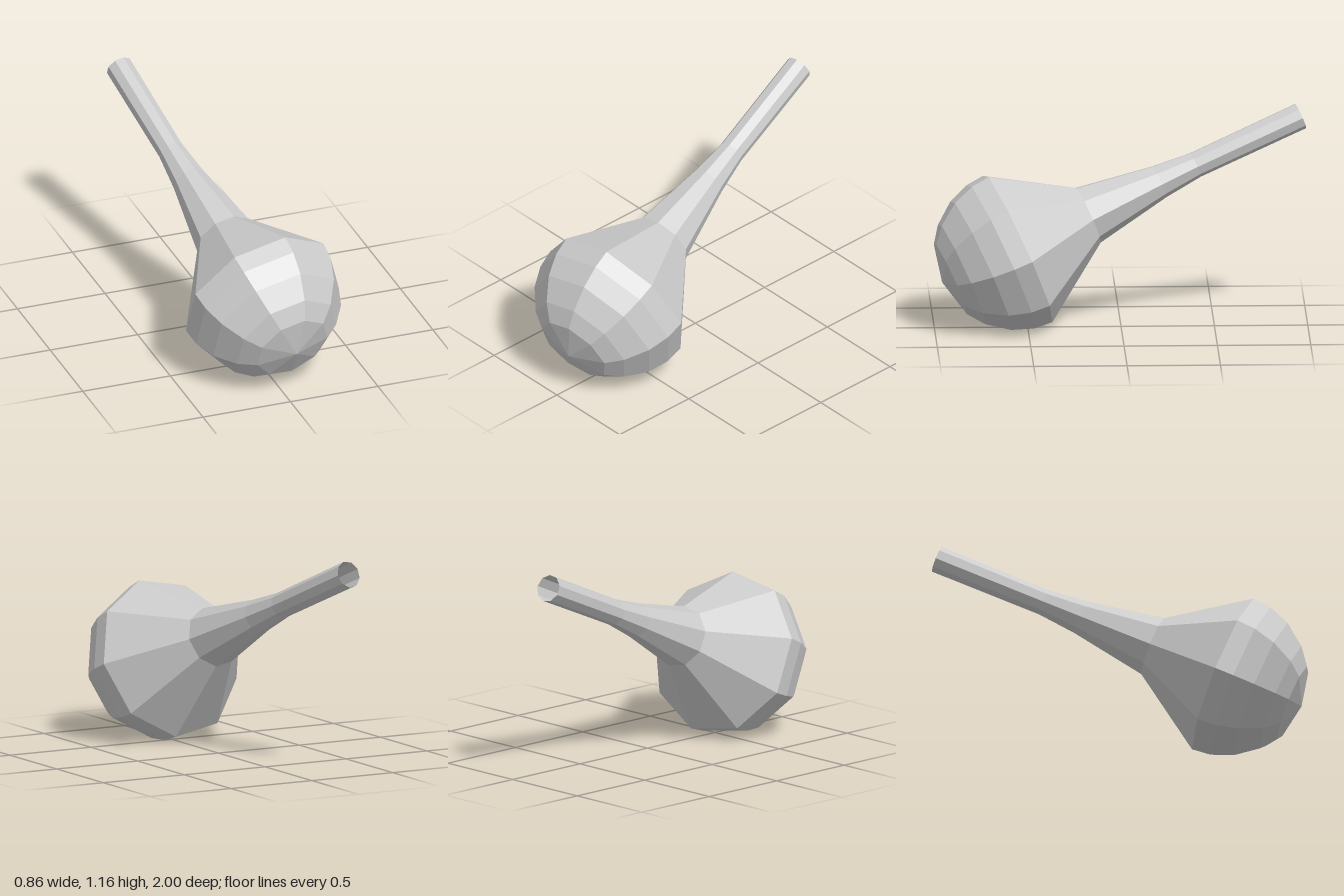
import * as THREE from 'three';

const SIDES = 9;

export function createModel() {
  const group = new THREE.Group();
  group.name = 'bulbWithTube';
  const material = new THREE.MeshStandardMaterial({
    color: 0xcccccc, flatShading: true, side: THREE.DoubleSide,
  });

  // Radius and distance along the axis, from the bulb's pole to the tube's open mouth
  const profile = [
    [0, 0], [0.211, 0.05], [0.3, 0.116], [0.388, 0.23], [0.433, 0.347], [0.443, 0.45],
    [0.165, 0.864], [0.093, 1.287], [0.071, 1.5], [0.073, 2.123],
  ].map(([r, t]) => new THREE.Vector2(r, t));

  // One faceted turned body: round bulb, sloping shoulder, flared neck and straight tube
  const phase = THREE.MathUtils.degToRad(8.4);
  const body = new THREE.Mesh(new THREE.LatheGeometry(profile, SIDES, phase), material);
  body.name = 'bulbAndNeck';

  // Lay the body along a tilted axis that rises towards the back
  const pole = new THREE.Vector3(0.05, 0.26, 0.96);
  const mouth = new THREE.Vector3(-0.245, 1.095, -0.97);
  const axis = mouth.clone().sub(pole).normalize();
  const across = new THREE.Vector3().crossVectors(axis, new THREE.Vector3(0, 1, 0)).normalize();
  const up = new THREE.Vector3().crossVectors(across, axis);
  body.quaternion.setFromRotationMatrix(new THREE.Matrix4().makeBasis(across, axis, up));
  body.position.copy(pole);

  group.add(body);
  return group;
}
